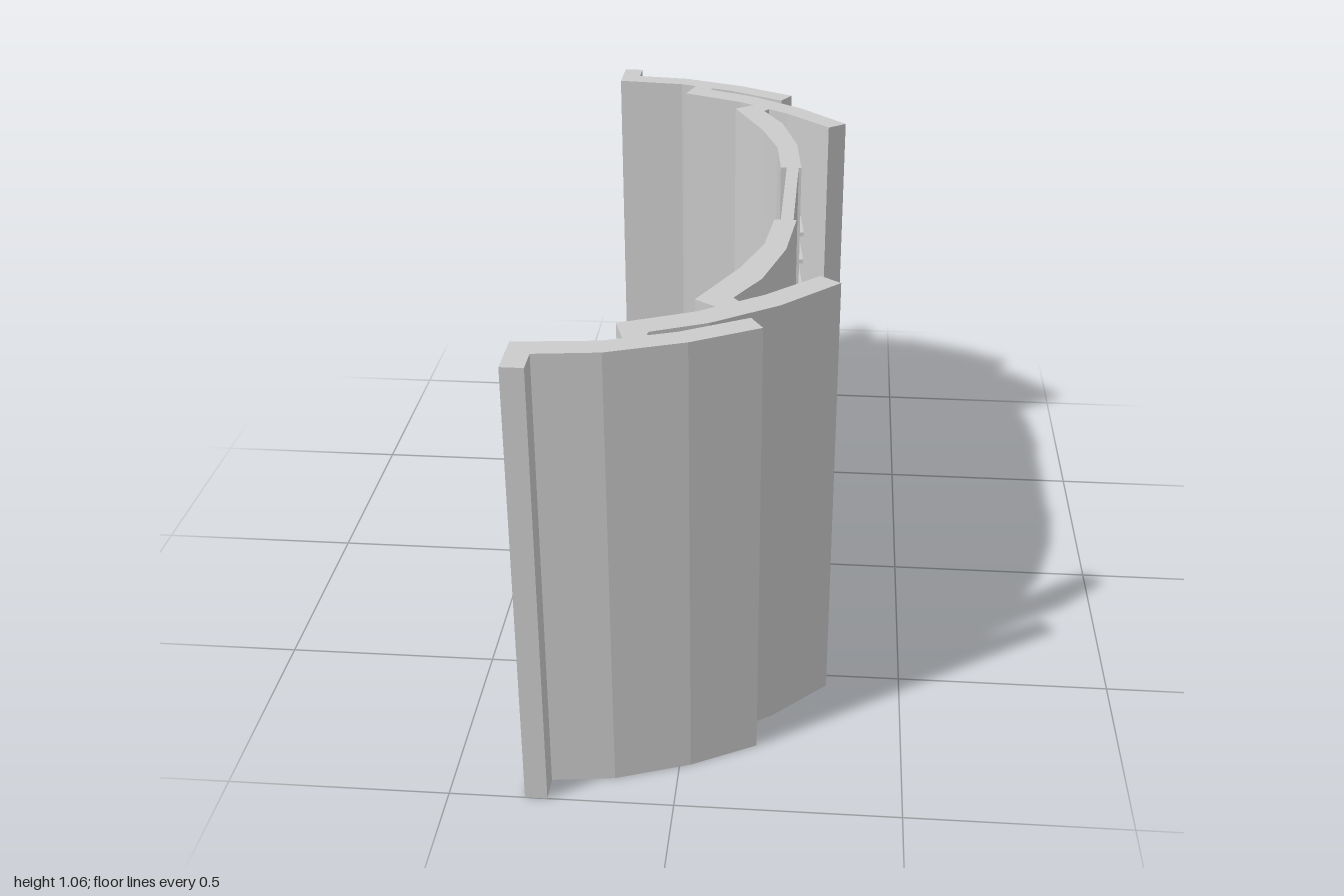
import * as THREE from 'three';

const HEIGHT = 1.06;

// Plan outlines of one half, as [x, distance from the centre line]
const OUTER_PANEL = [
  [-0.33, 1], [-0.28, 1], [-0.28, 0.937], [-0.14, 0.92], [0.025, 0.86], [0.17, 0.78],
  [0.143, 0.733], [0, 0.812], [-0.15, 0.866], [-0.33, 0.885],
];
const MIDDLE_PANEL = [
  [-0.13, 0.78], [-0.105, 0.86], [-0.06, 0.843], [-0.06, 0.818], [0.06, 0.765], [0.2, 0.667], [0.325, 0.54],
  [0.28, 0.505], [0.165, 0.615], [0.03, 0.71],
];
const INNER_PANEL = [
  [0.02, 0.65], [0.075, 0.69], [0.115, 0.655], [0.1, 0.635], [0.155, 0.53], [0.2, 0.36], [0.217, 0.18],
  [0.165, 0.18], [0.15, 0.33], [0.105, 0.47],
];
const CENTRE_STRIP = [[0.18, 0], [0.18, 0.19], [0.21, 0.19], [0.21, 0]];
const RIDGE = [[0.15, 0.53], [0.158, 0.532], [0.21, 0.36], [0.227, 0.19], [0.21, 0.19], [0.193, 0.36]];

const material = new THREE.MeshStandardMaterial({ color: 0xcccccc, flatShading: true, side: THREE.DoubleSide });

// Extrudes a plan outline upwards; side = 1 is the back half, -1 the front half
function extrudePlan(name, outline, side, y = 0, height = HEIGHT) {
  const shape = new THREE.Shape(outline.map(([x, d]) => new THREE.Vector2(x, d * side)));
  const geometry = new THREE.ExtrudeGeometry(shape, { depth: height, bevelEnabled: false });
  geometry.rotateX(-Math.PI / 2);
  geometry.translate(0, y, 0);
  const mesh = new THREE.Mesh(geometry, material);
  mesh.name = name;
  return mesh;
}

export function createModel() {
  const model = new THREE.Group();
  model.name = 'curvedPanelScreen';

  for (const side of [1, -1]) {
    const half = new THREE.Group();
    half.name = side > 0 ? 'backHalf' : 'frontHalf';
    half.add(
      extrudePlan('outerPanel', OUTER_PANEL, side),
      extrudePlan('middlePanel', MIDDLE_PANEL, side),
      extrudePlan('innerPanel', INNER_PANEL, side),
      extrudePlan('centreStrip', CENTRE_STRIP, side),
    );
    // Four thin ridges on the outer face of the inner panel
    for (let i = 0; i < 4; i++) {
      half.add(extrudePlan('ridge', RIDGE, side, 0.645 + i * 0.075, 0.012));
    }
    model.add(half);
  }
  return model;
}
